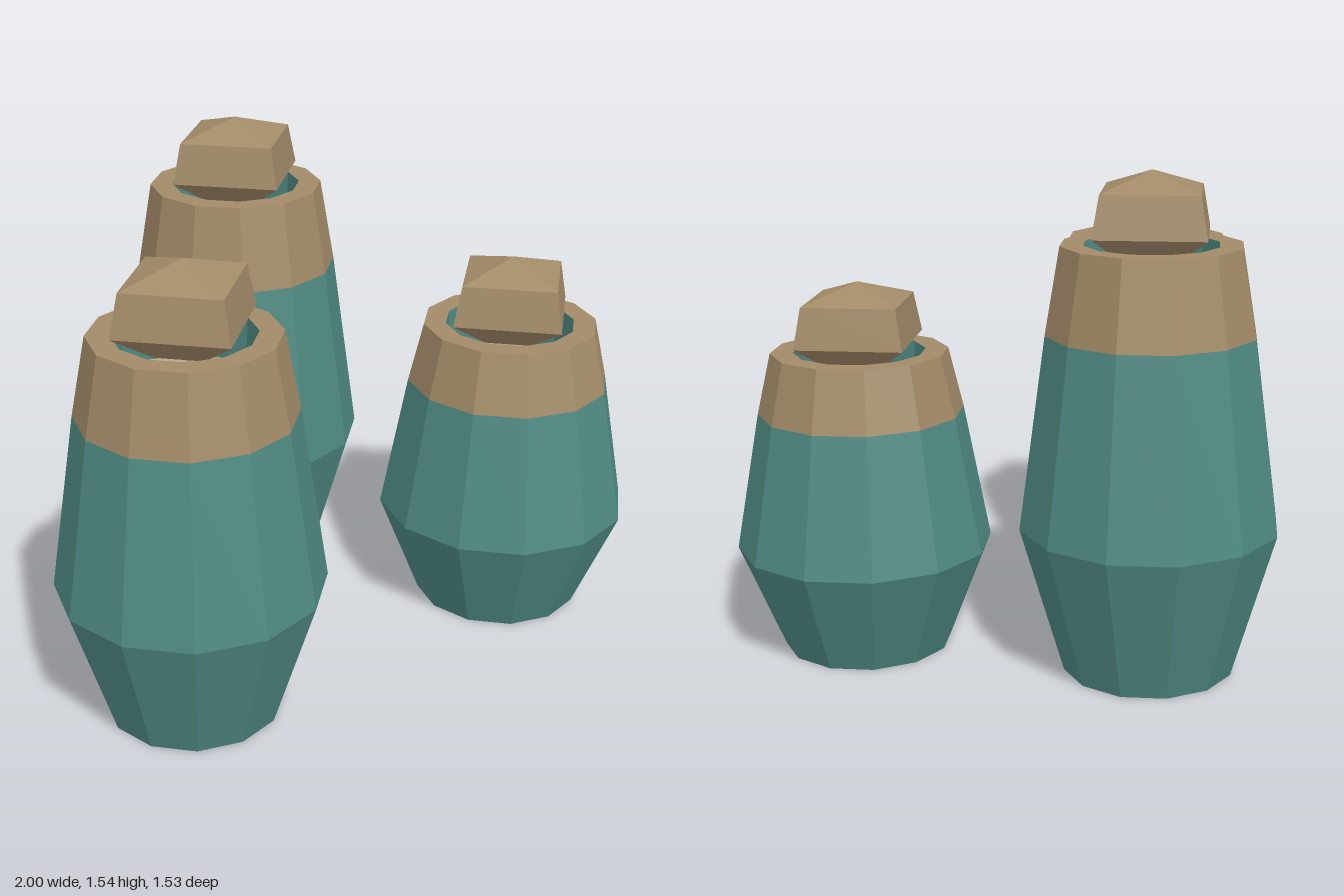
import * as THREE from 'three';

const teal = new THREE.MeshStandardMaterial({ color: 0x4f8a82, flatShading: true });
const tan = new THREE.MeshStandardMaterial({ color: 0xa38b68, flatShading: true });

// Faceted turned part; profile is [radius, height] running up the outside.
function turned(name, profile, sides, material) {
  const points = profile.map(([r, y]) => new THREE.Vector2(r, y));
  const mesh = new THREE.Mesh(new THREE.LatheGeometry(points, sides), material);
  mesh.name = name;
  return mesh;
}

function createJar(name, h) {
  const jar = new THREE.Group();
  jar.name = name;

  // Closed base, wide belly and tapering shoulder
  jar.add(turned('body', [[0, 0], [0.265, 0], [0.4, 0.35 * h], [0.32, 0.8 * h]], 12, teal));

  // Collar with a flat rim
  jar.add(turned('collar', [[0.32, 0.8 * h], [0.275, h], [0.205, h]], 12, tan));

  // Mouth lining and the steep bottom of the well
  jar.add(turned('mouthLining', [[0.205, h], [0.2, h - 0.15]], 12, teal));
  jar.add(turned('mouthWell', [[0.2, h - 0.15], [0, h - 0.55]], 12, tan));

  // Four-sided stopper with a pointed top and undercut base
  jar.add(turned('stopper', [
    [0, h - 0.05], [0.1, h - 0.05], [0.235, h + 0.033], [0.205, h + 0.16], [0, h + 0.217],
  ], 4, tan));
  return jar;
}

export function createModel() {
  const model = new THREE.Group();
  model.name = 'jarSet';
  const jars = [
    ['mediumJar', 1.194, -0.6, 0.365],
    ['tallJar', 1.322, 0.043, -0.37],
    ['shortJar', 0.955, 0.595, 0.365],
  ];
  for (const [name, height, x, z] of jars) {
    const jar = createJar(name, height);
    jar.position.set(x, 0, z);
    model.add(jar);
  }
  return model;
}
